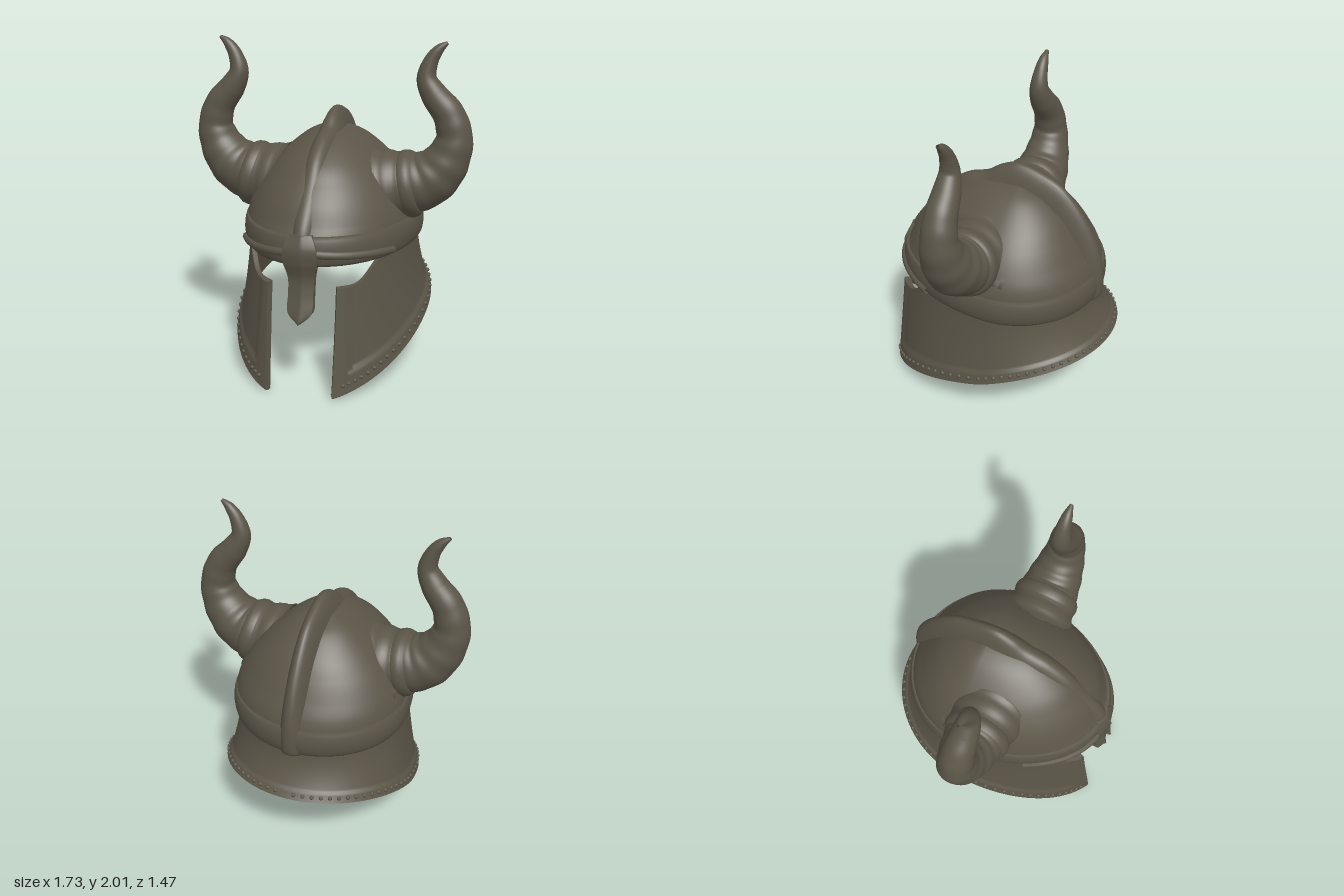
import * as THREE from 'three';
import { mergeGeometries } from 'three/addons/utils/BufferGeometryUtils.js';
import { ParametricGeometry } from 'three/addons/geometries/ParametricGeometry.js';

const darkIron = new THREE.MeshStandardMaterial({ color: 0x5b5548, side: THREE.DoubleSide });
darkIron.name = 'darkIron';

const spline = (pts) => new THREE.SplineCurve(pts.map(([a, b]) => new THREE.Vector2(a, b)));
const step = (x, a, b) => THREE.MathUtils.smoothstep(x, a, b);

// Smooth sheet from f(u, v) => [x, y, z]
const sheet = (f, nu, nv) => new ParametricGeometry((u, v, p) => p.set(...f(u, v)), nu, nv);

// Plate with thickness from f(u, v, inset): outside, inside and four edges
function shell(f, nu, nv, t) {
  return mergeGeometries([
    sheet((u, v) => f(u, 1 - v, 0), nu, nv),
    sheet((u, v) => f(u, v, t), nu, nv),
    ...[0, 1].map((e) => sheet((u, v) => f(e, u, v * t), nv, 1)),
    ...[0, 1].map((e) => sheet((u, v) => f(u, e, v * t), nu, 1)),
  ]);
}

// Egg-shaped horizontal section: half width, front depth, back depth
function oval(angle, y, a, front, back) {
  const c = Math.cos(angle);
  return [a * Math.sin(angle), y, -0.1 + (c > 0 ? front : back) * c];
}

// Dome sections from base to peak
const domeHeight = spline([[0.78, 0.52], [0.9, 0.535], [1.0, 0.52], [1.1, 0.475], [1.2, 0.41],
  [1.3, 0.32], [1.4, 0.2], [1.45, 0.1], [1.47, 0.01]]);
const domeDepth = spline([[0.75, 0.5], [0.765, 0.51], [0.72, 0.485], [0.67, 0.43], [0.595, 0.37],
  [0.5, 0.295], [0.34, 0.18], [0.19, 0.07], [0.01, 0.01]]);
function dome(u, v, d) {
  const h = domeHeight.getPoint(1 - v), b = domeDepth.getPoint(1 - v);
  const k = 1 - d / 0.55;
  return oval(u * Math.PI * 2, h.x - d * (1 - v), h.y * k, b.x * k, b.y * k);
}

// Raised band round the base of the dome
function band(u, v, d) {
  const k = 0.022 * Math.pow(Math.max(0, Math.sin(Math.PI * v)), 0.6) - d;
  return oval(u * Math.PI * 2, 0.95 - 0.175 * v, 0.53 + k, 0.76 + k, 0.51 + k);
}

// Half of the cheek and neck guard, from the face opening to the middle of the back
function guard(u, v, d) {
  const start = Math.asin(0.2 / (0.515 + 0.09 * Math.pow(v, 1.4)));
  const angle = start + Math.pow(u, 1.2) * (Math.PI - start);
  const c = Math.cos(angle), x = 0.53 * Math.sin(angle);
  const bottom = 0.33 - 0.27 * c - 0.08 * c * c;
  const top = c > 0 ? 0.65 + 0.14 * Math.pow(step(x, 0.26, 0.44), 1.8) : 0.79;
  const y = top + (bottom - top) * v;
  const t = Math.max(0, (0.8 - y) / (0.8 - bottom));
  const border = Math.max(c > 0 ? 1 - step(x, 0.24, 0.29) : 0, step(t, 0.8, 0.87));
  const k = (d > 0 ? 0 : 0.012 * border) - d;
  return oval(angle, y, 0.515 + 0.085 * Math.pow(t, 1.4) + k,
    0.775 + 0.09 * t + k, 0.5 + 0.12 * Math.pow(t, 1.8) + k);
}

// Nose guard: height with half width, and front position
const noseWidth = spline([[0.96, 0.065], [0.88, 0.1], [0.8, 0.1], [0.7, 0.078], [0.6, 0.075],
  [0.5, 0.072], [0.44, 0.008]]);
const noseFront = spline([[0.66, 0], [0.69, 0], [0.685, 0], [0.66, 0], [0.67, 0], [0.695, 0], [0.715, 0]]);
function nose(u, v, d) {
  const w = noseWidth.getPoint(v), s = u * 2 - 1;
  return [s * w.y, w.x, noseFront.getPoint(v).x + 0.02 * (1 - Math.abs(s)) - d];
}

// Crest: ridge line and the line where it meets the dome, as z and y
const ridge = spline([[0.70, 0.86], [0.66, 0.98], [0.58, 1.1], [0.50, 1.2], [0.40, 1.33], [0.26, 1.43],
  [0.13, 1.475], [0.03, 1.54], [-0.08, 1.575], [-0.23, 1.54], [-0.37, 1.47], [-0.50, 1.32],
  [-0.60, 1.13], [-0.645, 0.95], [-0.645, 0.79], [-0.59, 0.75]]);
const root = spline([[0.62, 0.86], [0.58, 0.97], [0.53, 1.07], [0.45, 1.17], [0.34, 1.28], [0.2, 1.37],
  [0.1, 1.4], [0.02, 1.42], [-0.08, 1.42], [-0.2, 1.39], [-0.31, 1.31], [-0.42, 1.19],
  [-0.50, 1.06], [-0.57, 0.92], [-0.58, 0.78], [-0.57, 0.75]]);
function crest(u, v) {
  const s = u * 2 - 1, h = 1 - Math.pow(Math.abs(s), 2.2);
  const p = root.getPoint(v).lerp(ridge.getPoint(v), h);
  return [0.08 * s, p.y, p.x];
}

// Horn: centre line in x and y, and radius with z; its foot stops inside the dome wall
const hornPath = spline([[0.31, 1.1], [0.4, 1.12], [0.5, 1.14], [0.62, 1.19], [0.71, 1.29], [0.755, 1.43],
  [0.72, 1.57], [0.635, 1.68], [0.585, 1.78], [0.605, 1.88], [0.65, 1.95], [0.7, 1.99]]);
const hornSize = spline([[0.25, 0.03], [0.218, 0.03], [0.19, 0.03], [0.17, 0.03], [0.14, 0.035], [0.11, 0.04],
  [0.095, 0.045], [0.08, 0.05], [0.06, 0.055], [0.044, 0.055], [0.03, 0.055], [0.01, 0.055]]);
function horn(u, v) {
  const c = hornPath.getPoint(v), t = hornPath.getTangent(v), s = hornSize.getPoint(v);
  const growth = 1 + 0.014 * Math.sin(v * 90) * (1 - step(v, 0.45, 0.7));
  const r = s.x * growth, n = r * Math.cos(u * Math.PI * 2);
  const x = c.x - t.y * n, y = c.y + t.x * n, z = s.y + r * Math.sin(u * Math.PI * 2);
  const wall = Math.min(0.52, 0.475 - 0.77 * (y - 1.1)) * Math.sqrt(1 - ((z + 0.1) / 0.65) ** 2) - 0.012;
  return [v < 0.4 ? Math.max(x, wall) : x, y, z];
}

export function createModel() {
  const model = new THREE.Group();
  model.name = 'hornedHelmet';
  const add = (parent, name, geometry) => {
    const mesh = new THREE.Mesh(geometry, darkIron);
    mesh.name = name;
    parent.add(mesh);
  };
  const tube = (pts, r) => new THREE.TubeGeometry(
    new THREE.CatmullRomCurve3(pts.map((p) => new THREE.Vector3(...p))), 80, r, 8);

  add(model, 'dome', shell(dome, 72, 40, 0.03));
  add(model, 'baseBand', shell(band, 72, 10, 0.03));
  add(model, 'noseGuard', shell(nose, 8, 24, 0.045));
  add(model, 'crest', sheet(crest, 16, 80));

  for (const [side, sign] of [['left', 1], ['right', -1]]) {
    const half = new THREE.Group();
    half.name = side + 'Half';
    half.scale.x = sign;
    model.add(half);

    add(half, side + 'CheekAndNeckGuard', shell(guard, 90, 32, 0.03));

    // Rolled lower rim and the beads above it
    const steps = [...Array(25).keys()].map((i) => i / 24);
    add(half, side + 'LowerRim', tube(steps.map((u) => guard(u, 0.995, 0.012)), 0.016));
    const beads = [...Array(34).keys()].map((i) =>
      new THREE.SphereGeometry(0.013, 8, 6).translate(...guard(0.06 + i * 0.0276, 0.91, 0)));
    add(half, side + 'RimBeads', mergeGeometries(beads));

    // Brow ridge over the eye opening
    const brow = [0.08, 0.25, 0.45, 0.65, 0.85, 1.0].map((a, i) =>
      oval(a, 0.86 - 0.01 * i, 0.545, 0.78, 0.53));
    add(half, side + 'BrowRidge', tube(brow, 0.024));

    // Horn with a soft collar near its foot
    add(half, side + 'Horn', sheet(horn, 40, 120));
    add(half, side + 'HornCollar', new THREE.TorusGeometry(0.172, 0.036, 14, 40)
      .scale(1, 1, 1.5).rotateY(Math.PI / 2).rotateZ(0.2).translate(0.495, 1.138, 0.03));
  }
  return model;
}
